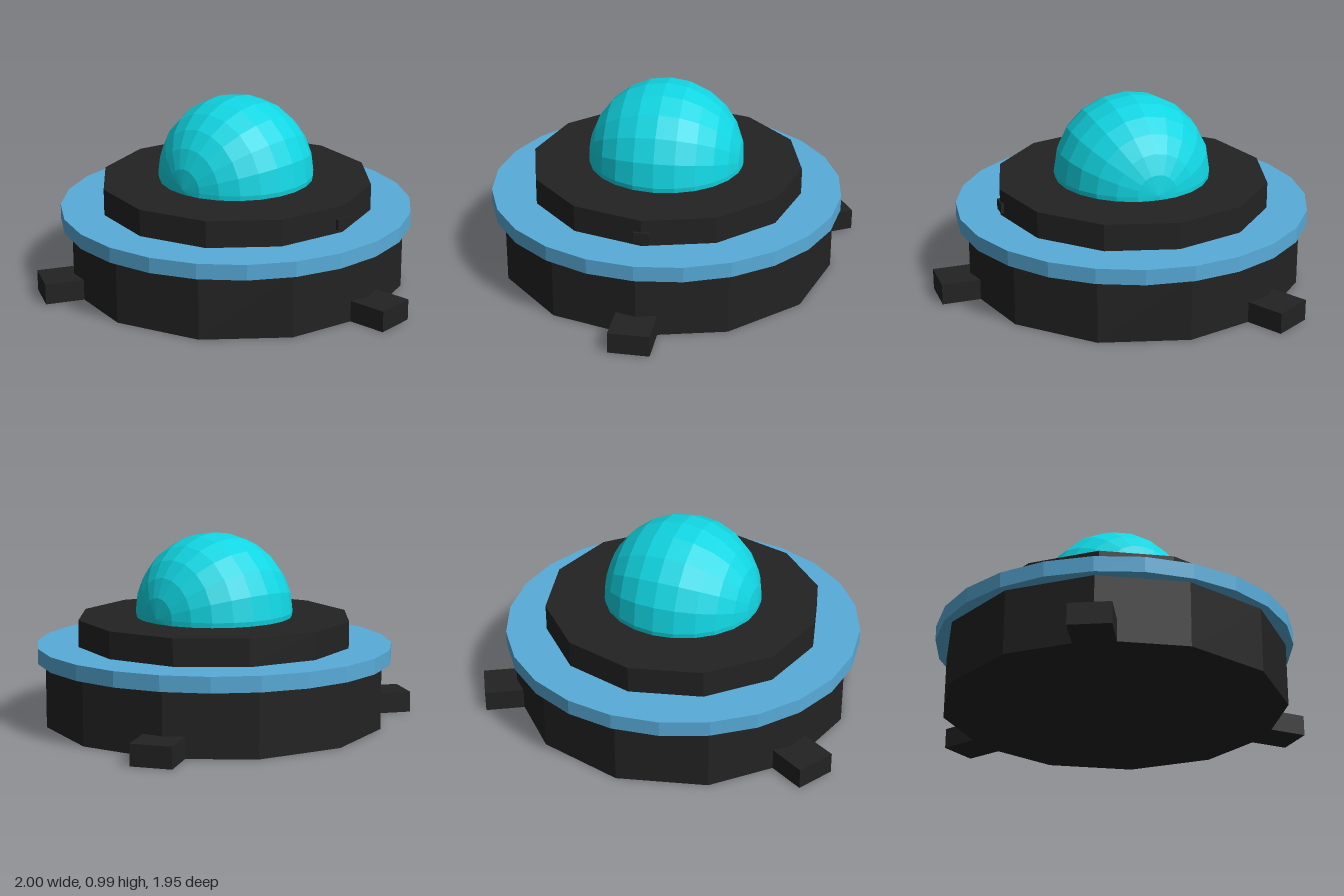
import * as THREE from 'three';

const material = (name, color) => {
  const m = new THREE.MeshStandardMaterial({ color, flatShading: true });
  m.name = name;
  return m;
};

export function createModel() {
  const black = material('black', 0x232323);
  const blue = material('blue', 0x58abd9);
  const cyan = material('cyan', 0x11d6e3);

  const model = new THREE.Group();
  model.name = 'domeBeacon';
  // The round body sits slightly off centre, because only one foot points along x
  const body = new THREE.Group();
  body.name = 'body';
  body.position.x = -0.067;
  model.add(body);

  const add = (name, geometry, mat) => {
    const mesh = new THREE.Mesh(geometry, mat);
    mesh.name = name;
    body.add(mesh);
    return mesh;
  };
  const disc = (name, radius, y0, y1, sides, mat) =>
    add(name, new THREE.CylinderGeometry(radius, radius, y1 - y0, sides).translate(0, (y0 + y1) / 2, 0), mat);

  // Stacked discs
  disc('base', 0.893, 0, 0.335, 12, black);
  disc('rim', 0.933, 0.335, 0.415, 24, blue);
  disc('deck', 0.721, 0.415, 0.555, 12, black);

  // Dome, with its poles facing front and back
  add('dome', new THREE.SphereGeometry(0.412, 20, 12).rotateX(Math.PI / 2).translate(0, 0.58, 0), cyan);

  // Small tab on the side of the deck
  add('tab', new THREE.BoxGeometry(0.1, 0.055, 0.08).translate(0.676, 0.462, 0), black);

  // Three feet around the base
  for (let i = 0; i < 3; i++) {
    const foot = add('foot', new THREE.BoxGeometry(0.267, 0.11, 0.21).translate(0.9335, 0.055, 0), black);
    foot.rotation.y = (i * Math.PI * 2) / 3;
  }
  return model;
}
